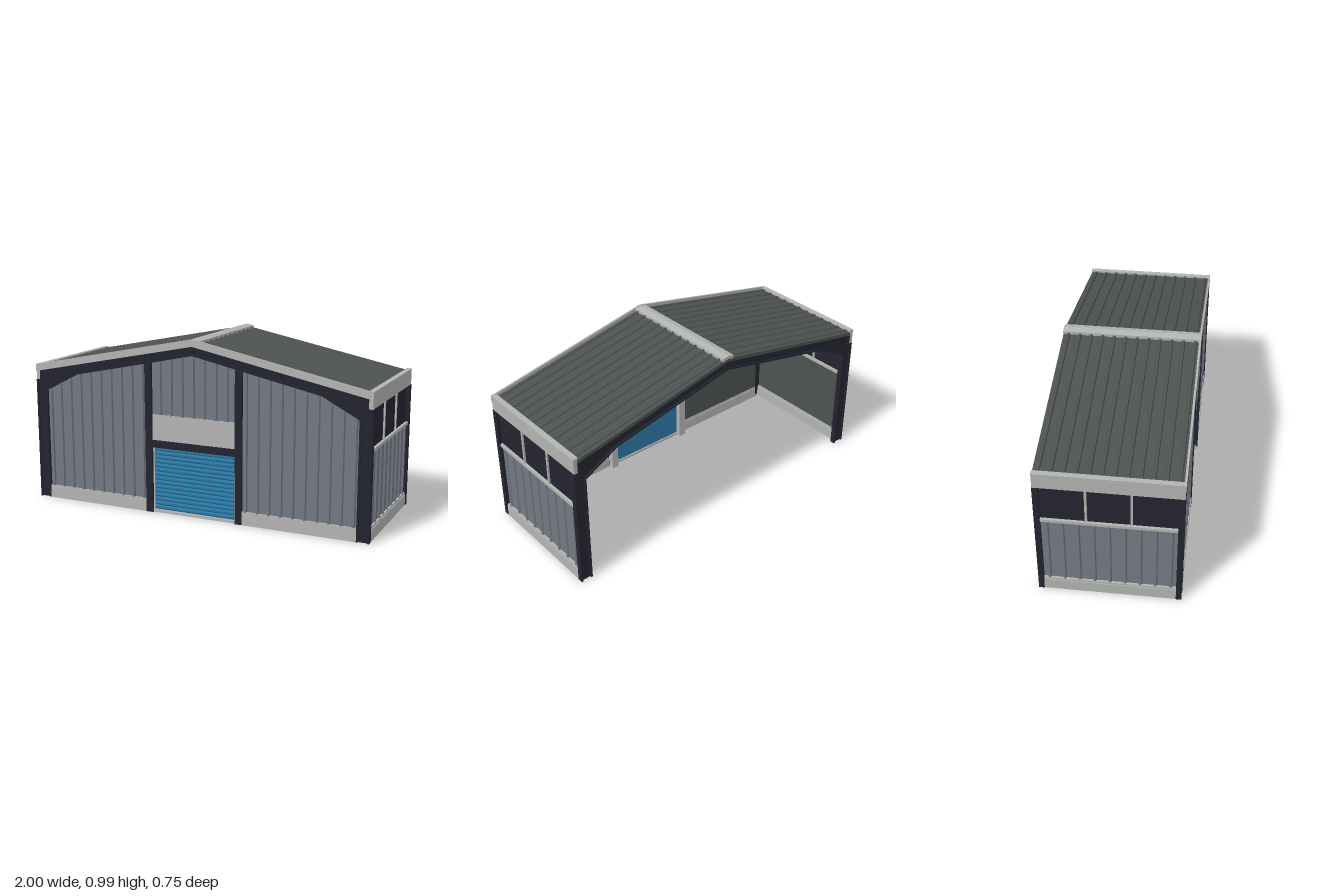
import * as THREE from 'three';
import { mergeGeometries } from 'three/addons/utils/BufferGeometryUtils.js';

const V = (x, y, z) => new THREE.Vector3(x, y, z);
const mat = (name, color) => Object.assign(new THREE.MeshStandardMaterial({ color }), { name });

export function createModel() {
  const group = new THREE.Group();
  const navy = mat('navy steel', 0x242431);
  const light = mat('light grey trim', 0xb2b4b2);
  const wall = mat('blue grey cladding', 0x737a82);
  const dark = mat('dark grey sheet', 0x4d5251);
  const blue = mat('blue shutter', 0x2c79a5);

  const add = (name, geo, material) => {
    const mesh = new THREE.Mesh(geo, material);
    mesh.name = name;
    group.add(mesh);
    return mesh;
  };
  // Box given by its limits on each axis
  const boxGeo = (x0, x1, y0, y1, z0, z1) =>
    new THREE.BoxGeometry(Math.abs(x1 - x0), y1 - y0, z1 - z0)
      .translate((x0 + x1) / 2, (y0 + y1) / 2, (z0 + z1) / 2);
  const box = (name, material, ...limits) => add(name, boxGeo(...limits), material);
  // Outline in x and y, extruded from z0 to z1
  const plate = (pts, z0, z1) =>
    new THREE.ExtrudeGeometry(new THREE.Shape(pts.map(p => new THREE.Vector2(...p))),
      { depth: z1 - z0, bevelEnabled: false }).translate(0, 0, z0);
  // Trapezoid rib running from a to b, standing up along out
  const rib = (a, b, out, w = 0.01, h = 0.01) => {
    const dir = b.clone().sub(a);
    const len = dir.length();
    dir.normalize();
    const side = out.clone().cross(dir);
    const g = plate([[-w, 0], [w, 0], [w * 0.5, h], [-w * 0.5, h]], 0, len);
    return g.applyMatrix4(new THREE.Matrix4().makeBasis(side, out, dir).setPosition(a));
  };
  // Underside of the portal frame at x
  const inner = x => {
    const d = Math.abs(x);
    return d < 0.73 ? 0.9 - d * 0.2123 : 0.745 - (d - 0.73) * 0.525;
  };
  const mirror = pts => pts.map(([x, y]) => [-x, y]).reverse();

  // Portal frames: web plate with flanges along both edges
  const outerLine = [[1, 0], [1, 0.7], [0.975, 0.7], [0.975, 0.755], [0, 0.95]];
  const innerLine = [[0, 0.9], [0.73, 0.745], [0.93, 0.64], [0.93, 0]];
  const flange = ([ax, ay], [bx, by], z) => {
    const len = Math.hypot(bx - ax, by - ay);
    return new THREE.BoxGeometry(len, 0.01, 0.03).translate(len / 2, 0.005, 0)
      .rotateZ(Math.atan2(by - ay, bx - ax)).translate(ax, ay, z);
  };
  for (const z of [0.36, -0.36]) {
    const parts = [];
    const half = [...outerLine, ...innerLine];
    for (const pts of [half, mirror(half)]) {
      parts.push(plate(pts, z - 0.005, z + 0.005));
      const reversed = pts !== half;
      for (let i = 0; i < pts.length - 1; i++) {
        const [a, b] = [pts[i], pts[i + 1]];
        if (a[0] === 0 && b[0] === 0) continue;
        parts.push(flange(a, b, z).toNonIndexed());
      }
      if (reversed) parts.push(boxGeo(-0.01, 0.01, 0.9, 0.945, z - 0.014, z + 0.014).toNonIndexed());
    }
    add(z > 0 ? 'frontPortalFrame' : 'backPortalFrame', mergeGeometries(parts), navy);
  }

  // Front wall cladding with upright ribs and a dark lining
  const frontBay = (name, pts, lining, ribXs, y0) => {
    add(name + 'Cladding', plate(pts, 0.352, 0.36), wall);
    add(name + 'Lining', plate(lining, 0.346, 0.352), dark);
    add(name + 'Ribs', mergeGeometries(ribXs.map(x =>
      rib(V(x, y0, 0.36), V(x, inner(x), 0.36), V(0, 0, 1)))), wall);
  };
  const bay = [[0.29, 0.03], [0.93, 0.03], [0.93, 0.64], [0.73, 0.745], [0.29, inner(0.29)]];
  for (const s of [1, -1]) {
    const pts = s > 0 ? bay : mirror(bay);
    const xs = Array.from({ length: 10 }, (_, i) => s * (0.31 + i * 0.0667));
    frontBay(s > 0 ? 'leftFrontWall' : 'rightFrontWall', pts, pts, xs, 0.07);
  }
  const gable = y => [[-0.25, y], [0.25, y], [0.25, inner(0.25)], [0, 0.9], [-0.25, inner(0.25)]];
  frontBay('gableWall', gable(0.55), gable(0.39),
    Array.from({ length: 7 }, (_, i) => (i - 3) * 0.0667), 0.56);

  // Doorway: header panel, lintel, shutter and its housing
  box('headerPanel', light, -0.25, 0.25, 0.41, 0.56, 0.352, 0.364);
  box('lintel', navy, -0.25, 0.25, 0.375, 0.415, 0.347, 0.375);
  box('shutterPanel', blue, -0.245, 0.245, 0.015, 0.38, 0.342, 0.35);
  add('shutterSlats', mergeGeometries(Array.from({ length: 15 }, (_, i) => {
    const y = 0.028 + i * 0.024;
    return rib(V(-0.245, y, 0.35), V(0.245, y, 0.35), V(0, 0, 1), 0.0105, 0.006);
  })), blue);
  box('shutterHousing', blue, -0.29, 0.29, 0.375, 0.455, 0.275, 0.346);
  box('threshold', light, -0.25, 0.25, 0, 0.015, 0.335, 0.365);

  for (const s of [1, -1]) {
    const side = s > 0 ? 'left' : 'right';
    // Door posts, shutter rails and front plinths
    box(side + 'DoorPost', navy, s * 0.25, s * 0.29, 0, inner(0.26), 0.345, 0.375);
    box(side + 'ShutterRail', light, s * 0.242, s * 0.285, 0, 0.375, 0.31, 0.345);
    box(side + 'RailFace', light, s * 0.242, s * 0.251, 0, 0.375, 0.345, 0.36);
    box(side + 'FrontPlinth', light, s * 0.29, s * 0.93, 0, 0.063, 0.34, 0.373);
    box(side + 'FrontPlinthCap', light, s * 0.29, s * 0.93, 0.063, 0.074, 0.344, 0.37);

    // Side wall: plinth, ribbed cladding, sill
    box(side + 'SidePlinth', light, s * 0.955, s * 0.998, 0, 0.063, -0.345, 0.345);
    box(side + 'SidePlinthCap', light, s * 0.959, s * 0.994, 0.063, 0.075, -0.345, 0.345);
    box(side + 'SideCladding', wall, s * 0.972, s * 0.982, 0.07, 0.475, -0.345, 0.345);
    box(side + 'SideLining', dark, s * 0.966, s * 0.972, 0.07, 0.475, -0.345, 0.345);
    add(side + 'SideRibs', mergeGeometries(Array.from({ length: 9 }, (_, i) => {
      const z = (i - 4) * 0.0787;
      return rib(V(s * 0.982, 0.075, z), V(s * 0.982, 0.475, z), V(s, 0, 0));
    })), wall);
    box(side + 'WindowSill', light, s * 0.96, s * 0.996, 0.473, 0.49, -0.345, 0.345);

    // Window band with two mullions
    box(side + 'Window', navy, s * 0.973, s * 0.981, 0.49, 0.71, -0.345, 0.345);
    for (const z of [0.114, -0.114])
      box(side + 'Mullion', light, s * 0.965, s * 0.99, 0.49, 0.705, z - 0.006, z + 0.006);

    // Eaves fascia with a gutter lip
    box(side + 'Fascia', light, s * 0.976, s * 0.998, 0.7, 0.78, -0.374, 0.374);
    box(side + 'GutterLip', light, s * 0.97, s * 1, 0.78, 0.789, -0.375, 0.375);
  }

  // Roof sheets, ribs, ridge cap and front verge trim
  const chevron = (x, top, bottom, drop) =>
    [[-x, bottom - drop], [0, bottom], [x, bottom - drop], [x, top - drop], [0, top], [-x, top - drop]];
  add('roofSheet', plate(chevron(0.975, 0.97, 0.951, 0.195), -0.373, 0.366), dark);
  const ribs = [];
  for (const s of [1, -1])
    for (let i = 0; i < 12; i++) {
      const z = (i - 5.5) * 0.0627;
      ribs.push(rib(V(s * 0.02, 0.966, z), V(s * 0.972, 0.7756, z), V(s * 0.2, 1, 0).normalize(), 0.01, 0.009));
    }
  add('roofRibs', mergeGeometries(ribs), dark);
  add('ridgeCap', plate(chevron(0.037, 0.987, 0.968, 0.008), -0.375, 0.368), light);
  add('frontVergeTrim', plate(chevron(1, 0.99, 0.95, 0.203), 0.366, 0.377), light);

  return group;
}
